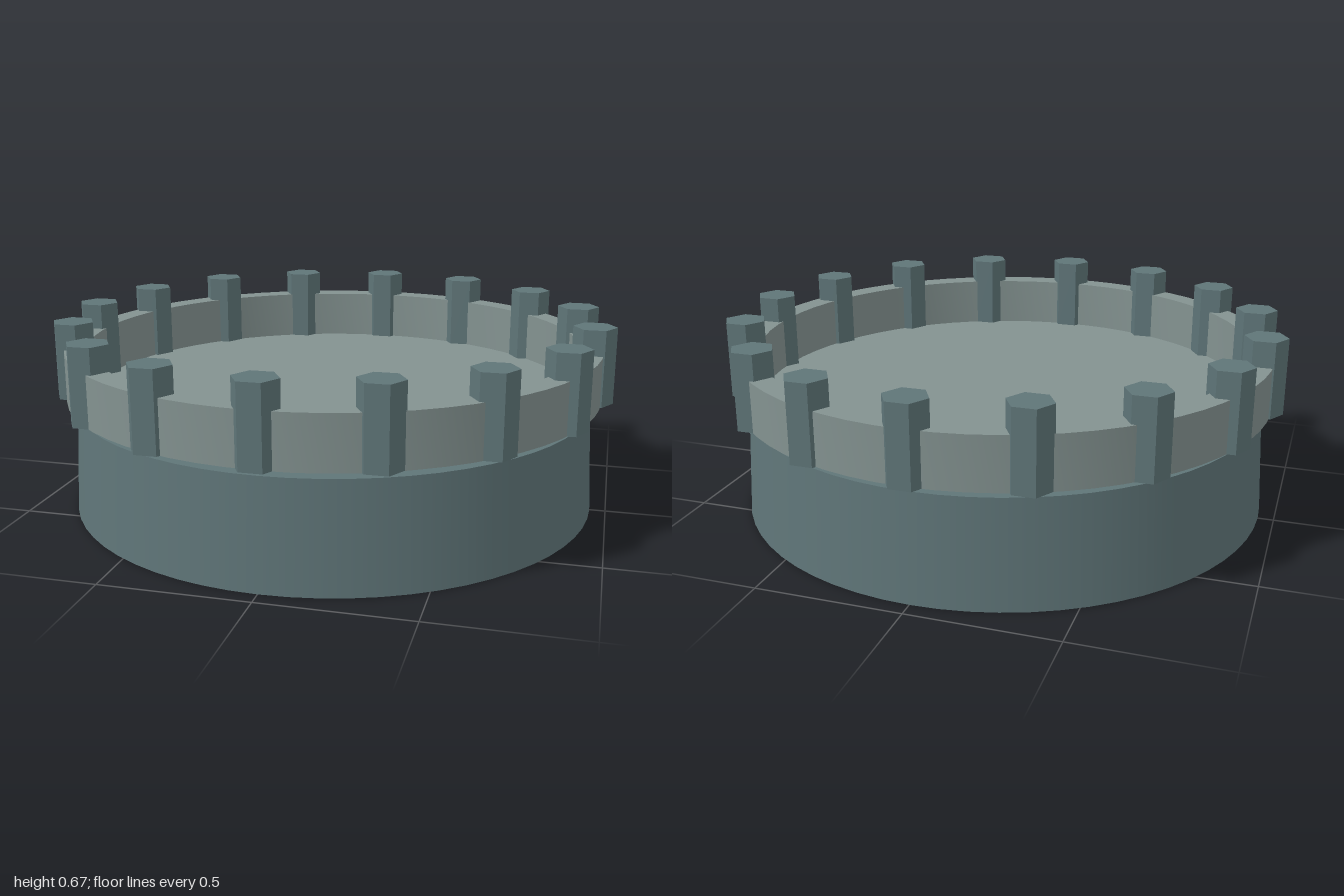
import * as THREE from 'three';
import { toCreasedNormals } from 'three/addons/utils/BufferGeometryUtils.js';

const SEGMENTS = 64;
const POSTS = 16;

export function createModel() {
  const model = new THREE.Group();
  const dark = new THREE.MeshStandardMaterial({ color: 0x5f7578 });
  const darkFlat = new THREE.MeshStandardMaterial({ color: 0x5f7578, flatShading: true });
  const light = new THREE.MeshStandardMaterial({ color: 0x839290 });

  const add = (name, geometry, material, x, y, z, parent = model) => {
    const mesh = new THREE.Mesh(geometry, material);
    mesh.name = name;
    mesh.position.set(x, y, z);
    parent.add(mesh);
    return mesh;
  };

  // Slightly tapered drum
  add('base', new THREE.CylinderGeometry(0.925, 0.945, 0.37, SEGMENTS), dark, 0, 0.185, 0);

  // Thin slab on the drum, forming the floor inside the wall
  add('floor', new THREE.CylinderGeometry(0.88, 0.88, 0.03, SEGMENTS), light, 0, 0.385, 0);

  // Ring wall overhanging the drum
  const profile = [[0.88, 0.4], [0.96, 0.4], [0.96, 0.58], [0.88, 0.58], [0.88, 0.4]]
    .map(([r, y]) => new THREE.Vector2(r, y));
  const ring = toCreasedNormals(new THREE.LatheGeometry(profile, SEGMENTS), 0.6);
  add('parapetWall', ring, light, 0, 0, 0);

  // Hexagonal posts, all turned the same way with corners along x
  const posts = new THREE.Group();
  posts.name = 'posts';
  model.add(posts);
  const hex = new THREE.CylinderGeometry(0.075, 0.075, 0.27, 6).rotateY(Math.PI / 2);
  for (let i = 0; i < POSTS; i++) {
    const a = (i / POSTS) * Math.PI * 2;
    add('post', hex, darkFlat, 0.925 * Math.cos(a), 0.535, 0.925 * Math.sin(a), posts);
  }

  return model;
}
